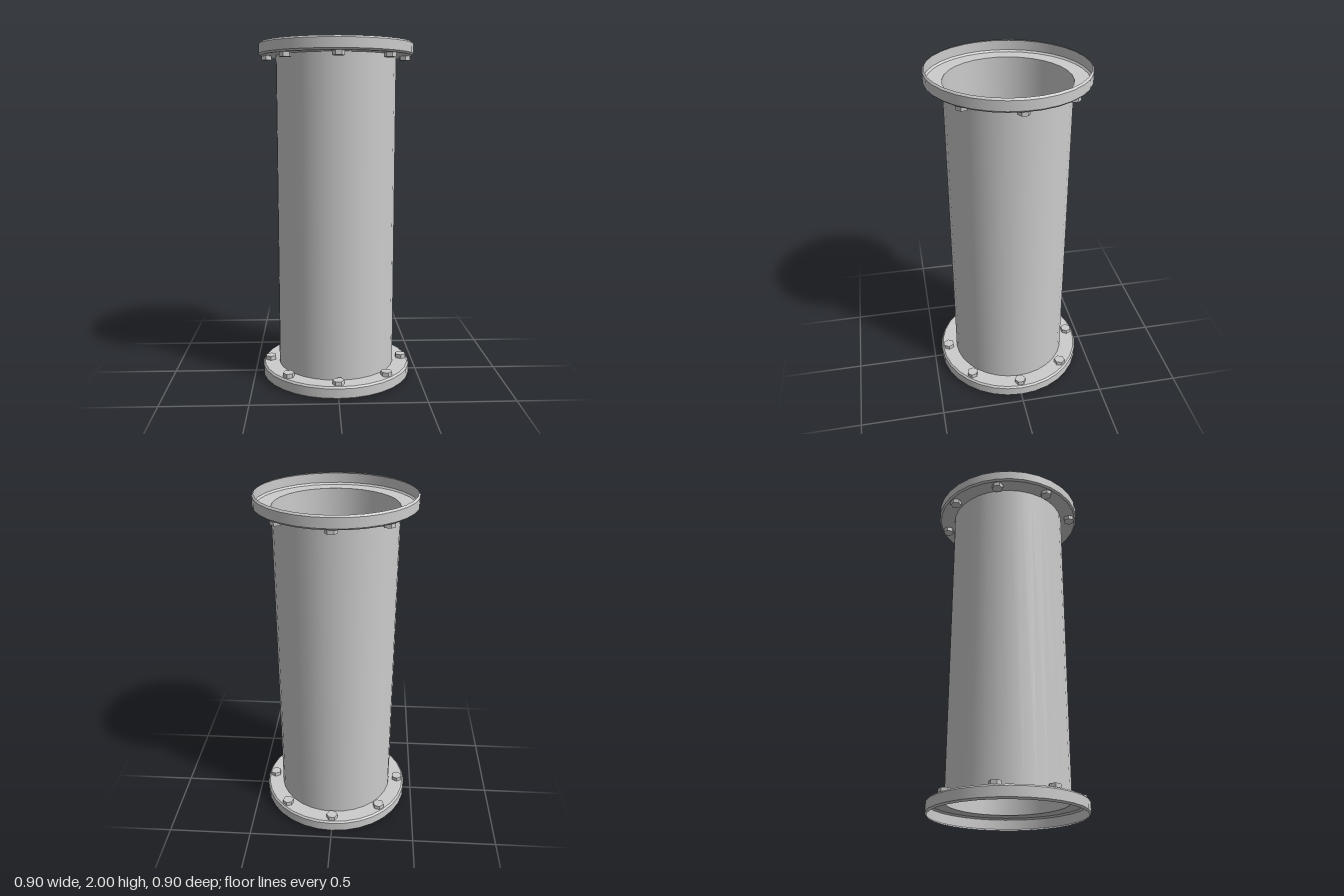
import * as THREE from 'three';
import { mergeGeometries } from 'three/addons/utils/BufferGeometryUtils.js';

const SEGMENTS = 32;
const BOLTS = 8;
const HALF = 1; // half of the total height
const PIPE_R = 0.352;
const PLATE_Y = 0.925; // flange plate height above the pipe's middle

// Open surface of revolution, smooth around but sharp at each profile point
function creasedLathe(profile) {
  const bands = [];
  for (let i = 0; i < profile.length - 1; i++) {
    const pair = [profile[i], profile[i + 1]].map(([r, y]) => new THREE.Vector2(r, y));
    bands.push(new THREE.LatheGeometry(pair, SEGMENTS));
  }
  return mergeGeometries(bands);
}

export function createModel() {
  const model = new THREE.Group();
  model.name = 'flangedPipe';
  const steel = new THREE.MeshStandardMaterial({ color: 0xcccccc, side: THREE.DoubleSide });
  steel.name = 'light grey steel';

  const add = (parent, geometry, name) => {
    const mesh = new THREE.Mesh(geometry, steel);
    mesh.name = name;
    parent.add(mesh);
    return mesh;
  };

  // Hollow pipe wall
  add(model, creasedLathe([[PIPE_R, -PLATE_Y], [PIPE_R, PLATE_Y]]), 'pipe').position.y = HALF;

  // Dished flange: thin plate with an upturned, chamfered rim
  const flangeGeometry = creasedLathe([
    [PIPE_R, PLATE_Y], [0.442, PLATE_Y], [0.452, PLATE_Y + 0.01],
    [0.452, HALF - 0.01], [0.442, HALF],
  ]);

  // Hexagonal bolt head with corners along x, so its flats face along the radius
  const boltGeometry = new THREE.CylinderGeometry(0.034, 0.034, 0.025, 6)
    .rotateY(Math.PI / 6).toNonIndexed();
  boltGeometry.computeVertexNormals();

  for (const end of ['top', 'bottom']) {
    const flange = new THREE.Group();
    flange.name = end + 'FlangeAssembly';
    flange.position.y = HALF;
    if (end === 'bottom') flange.rotation.x = Math.PI;
    add(flange, flangeGeometry, end + 'Flange');

    // Ring of bolts on the pipe side of the plate
    for (let i = 0; i < BOLTS; i++) {
      const angle = (i / BOLTS) * Math.PI * 2;
      const bolt = add(flange, boltGeometry, end + 'Bolt' + (i + 1));
      bolt.position.set(Math.sin(angle) * 0.405, PLATE_Y - 0.0125, Math.cos(angle) * 0.405);
      bolt.rotation.y = angle;
    }
    model.add(flange);
  }
  return model;
}
